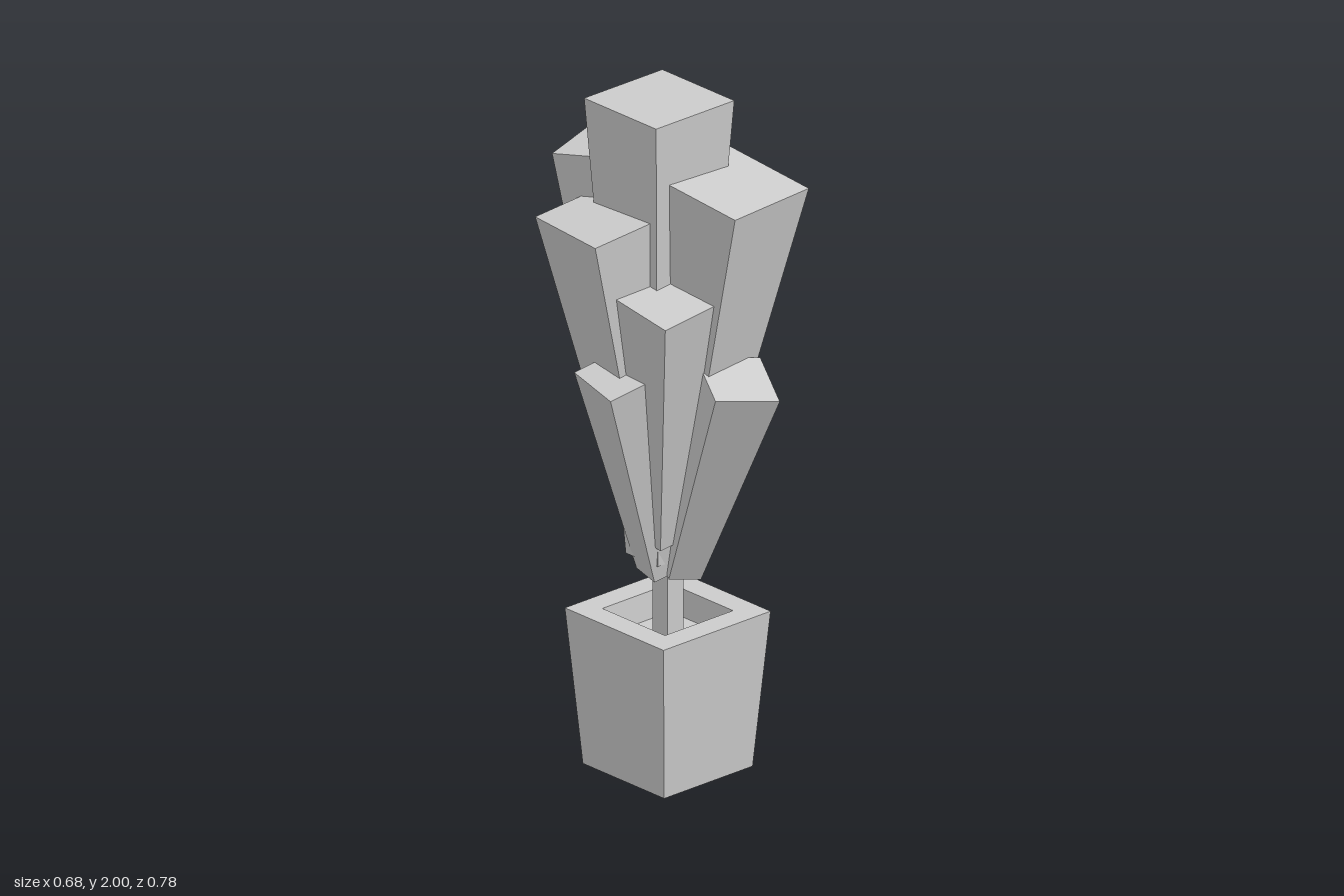
import * as THREE from 'three';

const material = new THREE.MeshStandardMaterial({ color: 0xcccccc, flatShading: true });
const UP = new THREE.Vector3(0, 1, 0);

// Square block, tapering from its top width to its bottom width,
// spanning two points and turned by yaw about its own axis.
function block(name, bottom, top, bottomWidth, topWidth, yaw = 0) {
  const a = new THREE.Vector3(...bottom);
  const b = new THREE.Vector3(...top);
  const geometry = new THREE.CylinderGeometry(
    topWidth / Math.SQRT2, bottomWidth / Math.SQRT2, a.distanceTo(b), 4, 1, false, Math.PI / 4);
  const mesh = new THREE.Mesh(geometry, material);
  mesh.name = name;
  mesh.position.copy(a).add(b).multiplyScalar(0.5);
  mesh.quaternion
    .setFromUnitVectors(UP, b.sub(a).normalize())
    .multiply(new THREE.Quaternion().setFromAxisAngle(UP, yaw));
  return mesh;
}

export function createModel() {
  const group = new THREE.Group();
  group.name = 'pottedPlant';

  // Square pot with a thick rim and sunken soil: [half width, height]
  const profile = [[0, 0], [0.165, 0], [0.2, 0.465], [0.127, 0.465], [0.12, 0.385], [0, 0.385]]
    .map(([x, y]) => new THREE.Vector2(x * Math.SQRT2, y));
  const pot = new THREE.Mesh(new THREE.LatheGeometry(profile, 4, Math.PI / 4), material);
  pot.name = 'pot';
  pot.position.set(0.002, 0, -0.012);
  group.add(pot);

  // Stem and upright centre leaf
  group.add(block('stem', [0.002, 0.38, -0.011], [0.002, 0.72, -0.011], 0.06, 0.06));
  group.add(block('centreLeaf', [-0.027, 0.64, -0.015], [-0.027, 2, -0.015], 0.13, 0.292));

  // Leaves leaning outward: name, bottom, top, bottom width, top width, yaw
  const leaves = [
    ['tallBackLeaf', [0.01, 0.67, -0.065], [0.015, 1.81, -0.194], 0.1, 0.308, 0.395],
    ['tallFrontLeaf', [0.01, 0.68, 0.018], [0.05, 1.795, 0.188], 0.1, 0.31, 0.113],
    ['tallRightLeaf', [-0.035, 0.69, -0.02], [-0.18, 1.688, -0.06], 0.1, 0.286, -0.127],
    ['tallLeftLeaf', [0.052, 0.68, -0.01], [0.17, 1.69, -0.034], 0.1, 0.286, 0.156],
    ['middleFrontLeaf', [-0.06, 0.71, 0.03], [-0.147, 1.49, 0.15], 0.09, 0.22, 0],
    ['lowLeftLeaf', [0.055, 0.605, -0.02], [0.241, 1.25, -0.07], 0.095, 0.19, -0.06],
    ['lowRightLeaf', [-0.038, 0.605, 0], [-0.21, 1.25, 0.03], 0.095, 0.19, -0.2],
    ['lowFrontLeaf', [0, 0.605, 0.04], [0.009, 1.24, 0.265], 0.095, 0.19, -0.42],
    ['lowBackLeaf', [0, 0.605, -0.062], [0.008, 1.245, -0.243], 0.095, 0.19, -0.38],
  ];
  for (const leaf of leaves) group.add(block(...leaf));

  return group;
}
